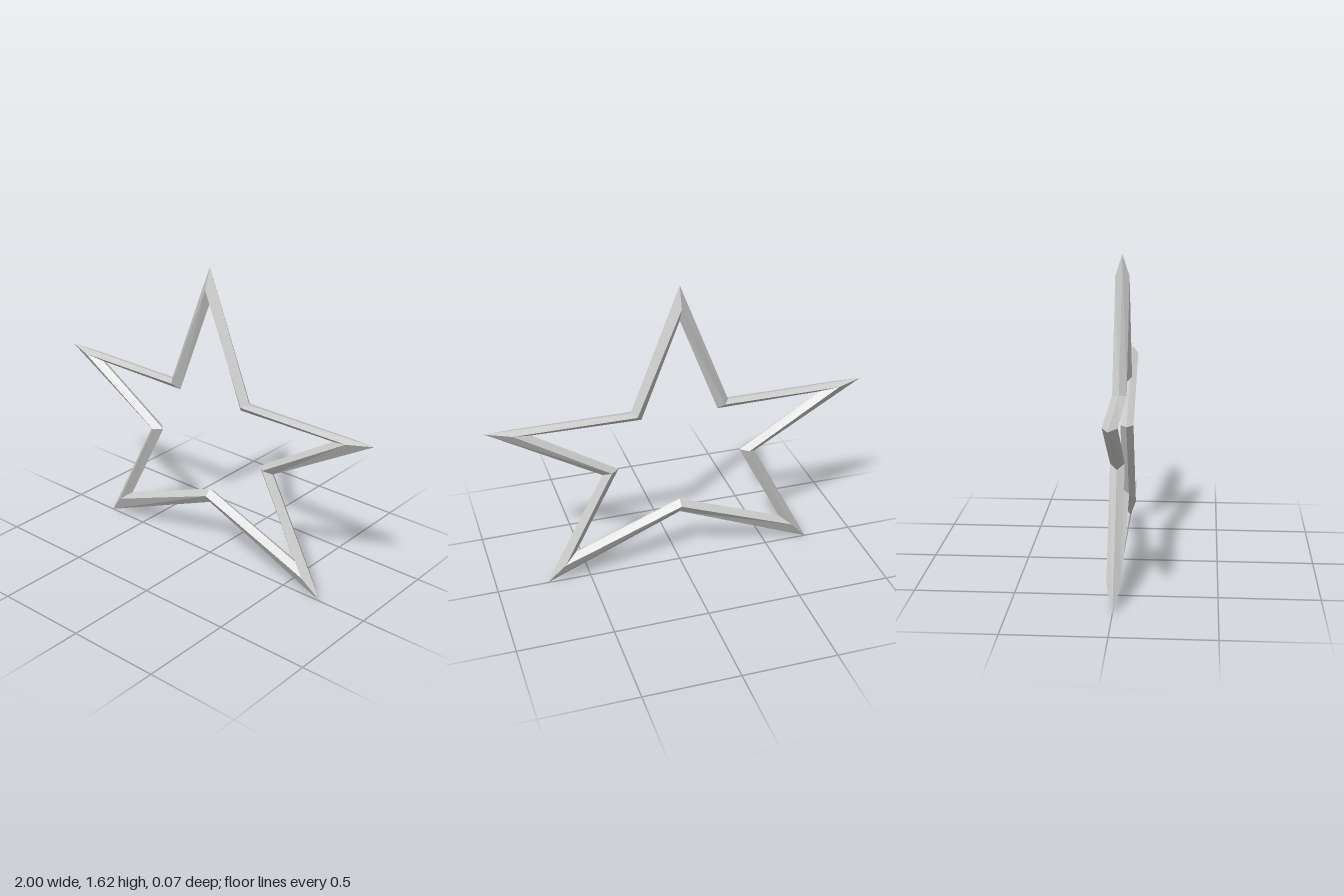
import * as THREE from 'three';

// Corners of the right half, tip to bottom notch: [x, y] of the outer edge, the ridge and the inner edge
const HALF = [
  [[0, 1.615], [0, 1.503], [0, 1.428]],              // top tip
  [[0.26, 0.95], [0.232, 0.94], [0.203, 0.905]],     // upper notch
  [[1, 0.957], [0.865, 0.94], [0.77, 0.912]],        // side tip
  [[0.415, 0.615], [0.374, 0.636], [0.33, 0.636]],   // side notch
  [[0.735, 0], [0.64, 0.115], [0.573, 0.167]],       // lower tip
  [[0, 0.31], [0, 0.36], [0, 0.39]],                 // bottom notch
];
const DEPTH = 0.036;

export function createModel() {
  // Mirror the half to get all ten corners, clockwise from the top
  const mirrored = HALF.slice(1, -1).reverse().map(c => c.map(([x, y]) => [-x, y]));
  const corners = [...HALF, ...mirrored];

  // Diamond cross-section at each corner: outer edge, front ridge, inner edge, back ridge
  const rings = corners.map(([o, r, i]) => [
    [...o, 0], [...r, DEPTH], [...i, 0], [...r, -DEPTH],
  ]);

  const positions = [];
  rings.forEach((ring, k) => {
    const next = rings[(k + 1) % rings.length];
    for (let j = 0; j < 4; j++) {
      const m = (j + 1) % 4;
      const a = ring[j], b = ring[m], c = next[j], d = next[m];
      positions.push(...a, ...b, ...c, ...b, ...d, ...c);
    }
  });

  const geometry = new THREE.BufferGeometry();
  geometry.setAttribute('position', new THREE.Float32BufferAttribute(positions, 3));
  geometry.computeVertexNormals();

  const frame = new THREE.Mesh(
    geometry,
    new THREE.MeshStandardMaterial({ color: 0xcccccc, flatShading: true }),
  );
  frame.name = 'starFrame';

  const group = new THREE.Group();
  group.name = 'star';
  group.add(frame);
  return group;
}
